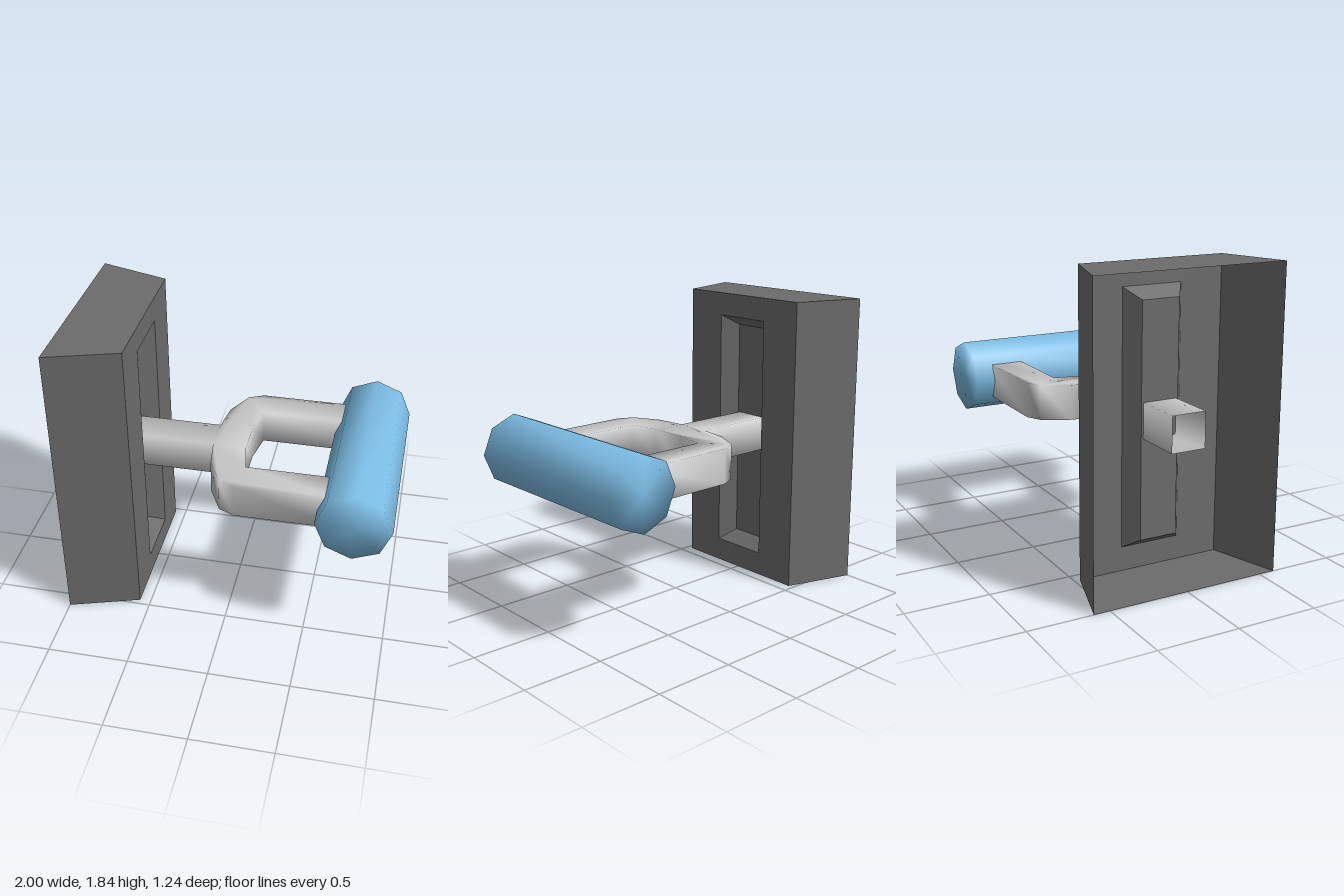
import * as THREE from 'three';
import { mergeVertices } from 'three/addons/utils/BufferGeometryUtils.js';

// Weld all corners so the shading runs smoothly over every edge
function smooth(geometry) {
  geometry.deleteAttribute('normal');
  geometry.deleteAttribute('uv');
  const g = mergeVertices(geometry, 1e-4);
  g.computeVertexNormals();
  return g;
}

// Rectangle facing +x, counter-clockwise seen from +x
const rect = (x, y0, y1, z) => [[x, y0, z], [x, y0, -z], [x, y1, -z], [x, y1, z]];

// Tapered wall housing, open at the back, with a sunken slot in its face
function housingGeometry() {
  const rings = [
    rect(-1, 0, 1.84, 0.6),
    rect(-0.57, 0, 1.84, 0.465),
    rect(-0.57, 0.15, 1.695, 0.19),
    rect(-0.67, 0.215, 1.63, 0.12),
  ];
  const positions = [];
  const quad = (a, b, c, d) => positions.push(...a, ...b, ...c, ...a, ...c, ...d);
  for (let r = 0; r < rings.length - 1; r++) {
    const a = rings[r], b = rings[r + 1];
    for (let i = 0; i < 4; i++) {
      const j = (i + 1) % 4;
      quad(a[i], a[j], b[j], b[i]);
    }
  }
  quad(...rings[3]);
  const g = new THREE.BufferGeometry();
  g.setAttribute('position', new THREE.Float32BufferAttribute(positions, 3));
  g.computeVertexNormals();
  return g;
}

// Square-section fork with open ends, mirrored about its stem
function forkGeometry() {
  const stemEnd = -0.98, armEnd = 0.7;
  const half = [
    [stemEnd, 0.107], [-0.15, 0.107], [-0.125, 0.29], [-0.04, 0.455], [0.055, 0.5],
    [armEnd, 0.5], [armEnd, 0.298], [0.09, 0.298], [0.055, 0.107],
  ];
  const mirrored = half.map(([x, z]) => [x, -z]).reverse();
  const shape = new THREE.Shape([...half, ...mirrored].map(([x, z]) => new THREE.Vector2(x, z)));
  const solid = new THREE.ExtrudeGeometry(shape, { depth: 0.215, bevelEnabled: false });
  solid.rotateX(-Math.PI / 2).translate(0, 0.83, 0);

  // Leave out the triangles that close the tube ends
  const p = solid.toNonIndexed().attributes.position;
  const kept = [];
  for (let t = 0; t < p.count; t += 3) {
    const corners = [t, t + 1, t + 2];
    const closesEnd = [stemEnd, armEnd].some(
      (x) => corners.every((i) => Math.abs(p.getX(i) - x) < 1e-4));
    if (!closesEnd) corners.forEach((i) => kept.push(p.getX(i), p.getY(i), p.getZ(i)));
  }
  const g = new THREE.BufferGeometry();
  g.setAttribute('position', new THREE.Float32BufferAttribute(kept, 3));
  return smooth(g);
}

export function createModel() {
  const group = new THREE.Group();
  group.name = 'wallLever';
  const add = (name, geometry, options) => {
    const mesh = new THREE.Mesh(geometry, new THREE.MeshStandardMaterial(options));
    mesh.name = name;
    group.add(mesh);
    return mesh;
  };

  add('housing', housingGeometry(),
    { color: 0x6c6c6c, flatShading: true, side: THREE.DoubleSide });
  add('fork', forkGeometry(), { color: 0xcccccc, side: THREE.DoubleSide });

  // Eight-sided grip across the arms
  const grip = new THREE.CylinderGeometry(0.225, 0.225, 1.24, 8).rotateX(Math.PI / 2);
  add('grip', smooth(grip), { color: 0x7cbce4 }).position.set(0.775, 0.945, 0);

  return group;
}
